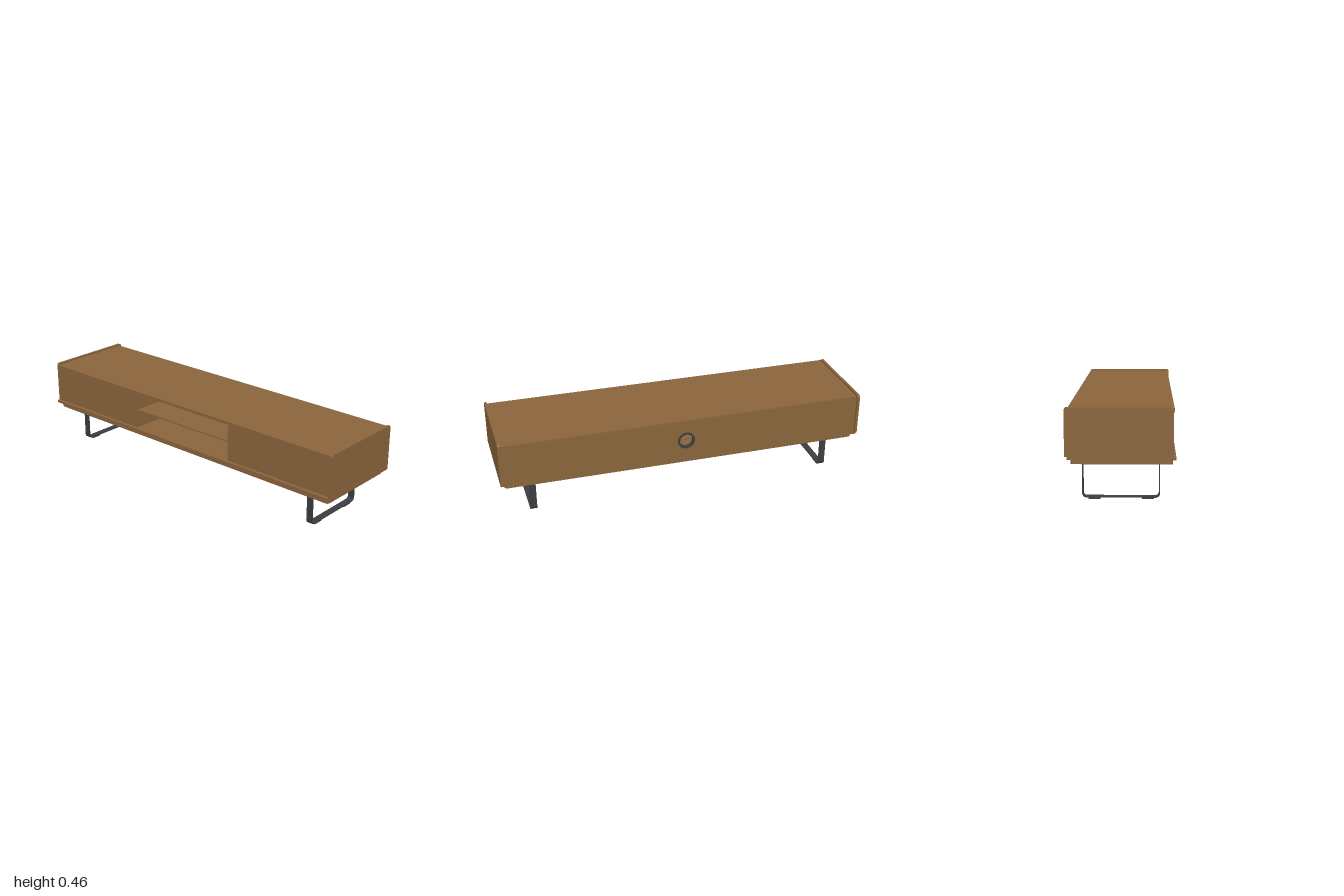
import * as THREE from 'three';

const wood = new THREE.MeshStandardMaterial({ color: 0x8a653c });
wood.name = 'walnut wood';
const metal = new THREE.MeshStandardMaterial({ color: 0x3c3c42 });
metal.name = 'dark metal';

function add(parent, name, geometry, material) {
  const mesh = new THREE.Mesh(geometry, material);
  mesh.name = name;
  parent.add(mesh);
  return mesh;
}

// Box given by its limits on each axis
function slab(parent, name, [x0, x1], [y0, y1], [z0, z1], material = wood) {
  const mesh = add(parent, name, new THREE.BoxGeometry(x1 - x0, y1 - y0, z1 - z0), material);
  mesh.position.set((x0 + x1) / 2, (y0 + y1) / 2, (z0 + z1) / 2);
  return mesh;
}

function extrude(shape, depth) {
  return new THREE.ExtrudeGeometry(shape, { depth, bevelEnabled: false, curveSegments: 8 });
}

// Profile drawn in the z-y plane, extruded along x and centred on x = 0
function sideProfile(shape, width) {
  return extrude(shape, width).translate(0, 0, -width / 2).rotateY(-Math.PI / 2);
}

// End panel with rounded upper corners
function sidePanel(z0, z1, y0, y1, width) {
  const r = 0.012;
  const s = new THREE.Shape();
  s.moveTo(z0, y0);
  s.lineTo(z1, y0);
  s.lineTo(z1, y1 - r);
  s.absarc(z1 - r, y1 - r, r, 0, Math.PI / 2);
  s.lineTo(z0 + r, y1);
  s.absarc(z0 + r, y1 - r, r, Math.PI / 2, Math.PI);
  s.closePath();
  return sideProfile(s, width);
}

// Bent flat bar: down, round the corner, along the floor and up again
function legBar() {
  const zo = 0.187, y0 = 0.007, top = 0.194, t = 0.006, ro = 0.022, ri = ro - t;
  const c = zo - ro, cy = y0 + ro, q = Math.PI / 2;
  const s = new THREE.Shape();
  s.moveTo(-zo, top);
  s.lineTo(-zo, cy);
  s.absarc(-c, cy, ro, 2 * q, 3 * q);
  s.absarc(c, cy, ro, 3 * q, 4 * q);
  s.lineTo(zo, top);
  s.lineTo(zo - t, top);
  s.absarc(c, cy, ri, 0, -q, true);
  s.absarc(-c, cy, ri, -q, -2 * q, true);
  s.lineTo(-zo + t, top);
  s.closePath();
  return sideProfile(s, 0.036);
}

// Rounded rectangle for the plinth outline
function plinthShape(x, z0, z1, r) {
  const q = Math.PI / 2;
  const s = new THREE.Shape();
  s.moveTo(-x + r, z0);
  s.absarc(x - r, z0 + r, r, -q, 0);
  s.absarc(x - r, z1 - r, r, 0, q);
  s.absarc(-x + r, z1 - r, r, q, 2 * q);
  s.absarc(-x + r, z0 + r, r, 2 * q, 3 * q);
  return s;
}

export function createModel() {
  const model = new THREE.Group();
  model.name = 'mediaConsole';
  const inner = 0.986;

  // Cabinet shell
  const cabinet = new THREE.Group();
  cabinet.name = 'cabinet';
  model.add(cabinet);
  slab(cabinet, 'topBoard', [-inner, inner], [0.437, 0.452], [-0.248, 0.252]);
  slab(cabinet, 'bottomBoard', [-1, inner], [0.216, 0.23], [-0.248, 0.26]);
  add(cabinet, 'leftPanel', sidePanel(-0.248, 0.26, 0.216, 0.462, 0.014), wood).position.x = 0.993;
  add(cabinet, 'rightPanel', sidePanel(-0.26, 0.248, 0.23, 0.462, 0.014), wood).position.x = -0.993;

  // Back panel with a cable hole
  const holeY = 0.333;
  const back = new THREE.Shape();
  back.moveTo(-inner, 0.23);
  back.lineTo(inner, 0.23);
  back.lineTo(inner, 0.437);
  back.lineTo(-inner, 0.437);
  back.closePath();
  back.holes.push(new THREE.Path().absarc(0, holeY, 0.039, 0, Math.PI * 2, true));
  add(cabinet, 'backPanel', extrude(back, 0.012), wood).position.z = -0.248;

  // Grommet lining the cable hole
  const ring = [[0.036, 0], [0.047, 0], [0.047, 0.004], [0.039, 0.004], [0.039, 0.018], [0.036, 0.018], [0.036, 0]];
  const profile = ring.map(([r, y]) => new THREE.Vector2(r, y));
  const grommet = add(cabinet, 'cableGrommet',
    new THREE.LatheGeometry(profile, 40).toNonIndexed(), metal);
  grommet.geometry.computeVertexNormals();
  grommet.rotation.x = Math.PI / 2;
  grommet.position.set(0, holeY, -0.252);

  // Open centre bay between two doors
  slab(cabinet, 'shelf', [-0.336, 0.336], [0.329, 0.336], [-0.236, 0.235]);
  for (const side of [-1, 1]) {
    const d = slab(cabinet, 'divider', [0.336, 0.346], [0.23, 0.437], [-0.236, 0.246]);
    d.position.x *= side;
    const door = slab(cabinet, 'door', [0.349, 0.984], [0.232, 0.435], [0.232, 0.246]);
    door.position.x *= side;
  }

  // Recessed plinth
  const plinth = add(model, 'plinth',
    extrude(plinthShape(0.978, -0.245, 0.232, 0.014), 0.023), wood);
  plinth.rotation.x = -Math.PI / 2;
  plinth.position.y = 0.193;

  // Bent bar legs with mounting plates and floor pads
  for (const side of [-1, 1]) {
    const leg = new THREE.Group();
    leg.name = 'leg';
    leg.position.x = side * 0.83;
    model.add(leg);
    add(leg, 'legBar', legBar(), metal);
    for (const end of [-1, 1]) {
      const plate = slab(leg, 'mountingPlate', [-0.02, 0.02], [0.19, 0.194], [0.176, 0.192], metal);
      plate.position.z *= end;
      const pad = slab(leg, 'floorPad', [-0.015, 0.015], [0, 0.008], [0.1, 0.157], metal);
      pad.position.z *= end;
    }
  }
  return model;
}
